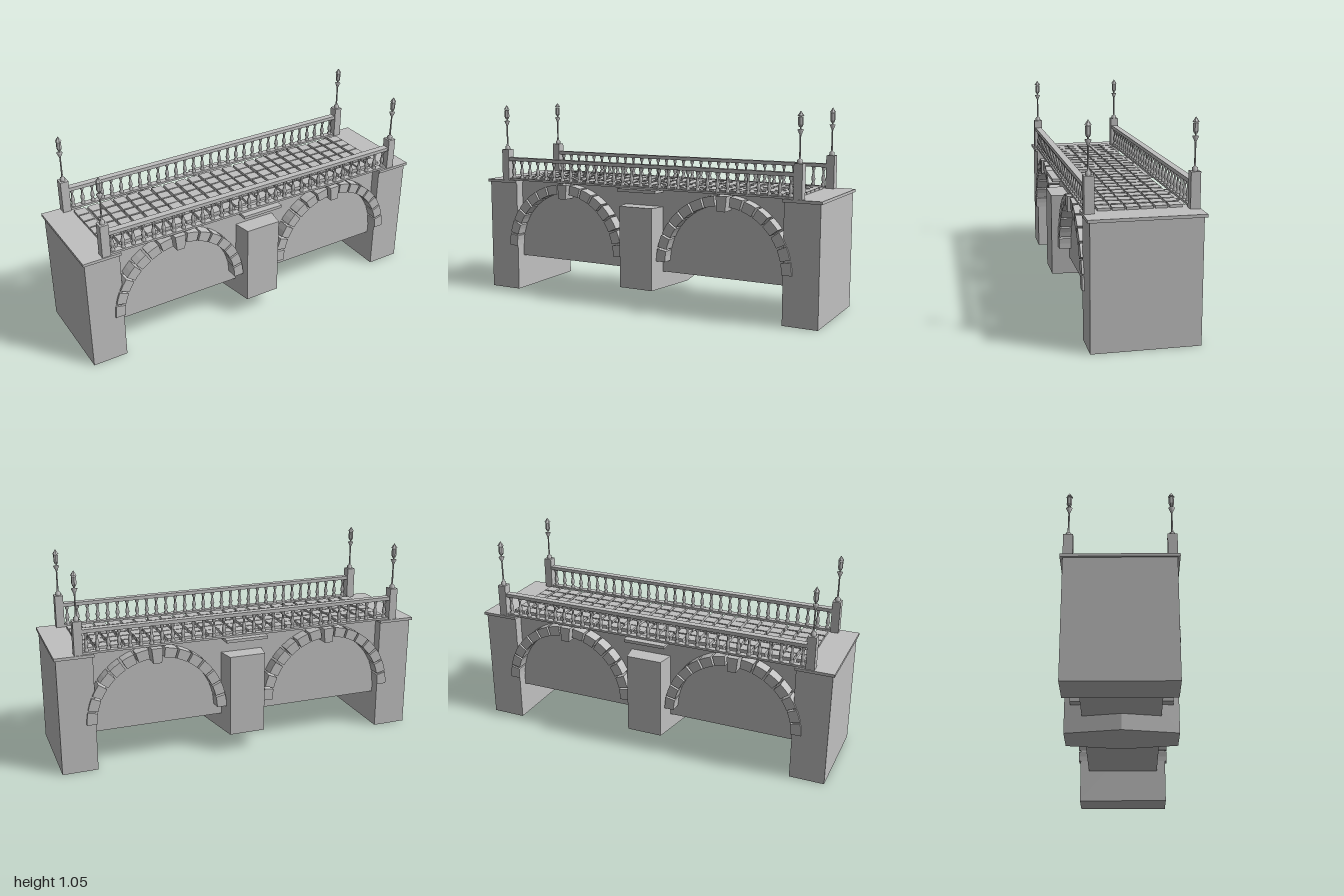
import * as THREE from 'three';

export function createModel() {
  const root = new THREE.Group();
  root.name = 'archBridge';
  const stone = new THREE.MeshStandardMaterial({ color: 0xc0c0c0 });
  stone.name = 'greyStone';

  const add = (parent, name, geo, x = 0, y = 0, z = 0) => {
    const m = new THREE.Mesh(geo, stone);
    m.name = name;
    m.position.set(x, y, z);
    parent.add(m);
    return m;
  };
  // box given by its x, y and z limits
  const block = (parent, name, x0, x1, y0, y1, z0, z1) =>
    add(parent, name, new THREE.BoxGeometry(x1 - x0, y1 - y0, z1 - z0),
      (x0 + x1) / 2, (y0 + y1) / 2, (z0 + z1) / 2);
  const lathe = (pts, n) =>
    new THREE.LatheGeometry(pts.map(p => new THREE.Vector2(p[0], p[1])), n);
  let seed = 7;
  const jitter = a => {
    seed = (seed * 16807) % 2147483647;
    return (seed / 2147483647 - 0.5) * 2 * a;
  };

  // solid span between the abutments
  block(root, 'spanBody', -0.81, 0.81, 0.19, 0.625, -0.21, 0.21);

  // abutments with cap slabs
  for (const s of [-1, 1]) {
    const a = new THREE.Group();
    a.name = s > 0 ? 'leftAbutment' : 'rightAbutment';
    root.add(a);
    add(a, 'abutmentBlock', new THREE.BoxGeometry(0.185, 0.615, 0.525), s * 0.8975, 0.3075, 0);
    add(a, 'abutmentCap', new THREE.BoxGeometry(0.2, 0.015, 0.55), s * 0.9, 0.6225, 0);
  }

  // central pier, pointed towards both spans
  const plan = new THREE.Shape([[0.15, 0], [0.097, 0.305], [-0.097, 0.305],
    [-0.15, 0], [-0.097, -0.305], [0.097, -0.305]].map(p => new THREE.Vector2(...p)));
  const pierGeo = new THREE.ExtrudeGeometry(plan, { depth: 0.437, bevelEnabled: false });
  pierGeo.rotateX(-Math.PI / 2);
  add(root, 'centralPier', pierGeo, 0, 0.1, 0);
  block(root, 'centralLedge', -0.115, 0.115, 0.614, 0.63, -0.3, 0.3);

  // arch rings of separate wedge stones with a keystone
  const N = 15, rIn = 0.322, rOut = 0.374;
  const step = Math.PI / N;
  const wedge = new THREE.Shape();
  wedge.absarc(0, 0, rOut, -step * 0.43, step * 0.43, false);
  wedge.absarc(0, 0, rIn, step * 0.43, -step * 0.43, true);
  wedge.closePath();
  const wedgeGeo = new THREE.ExtrudeGeometry(wedge, { depth: 0.068, bevelEnabled: false, curveSegments: 1 });
  const key = new THREE.Shape([[-0.022, 0.545], [0.022, 0.545], [0.03, 0.624], [-0.03, 0.624]]
    .map(p => new THREE.Vector2(...p)));
  const keyGeo = new THREE.ExtrudeGeometry(key, { depth: 0.078, bevelEnabled: false });
  for (const side of [-1, 1]) {
    for (const cx of [-0.48, 0.48]) {
      const arch = new THREE.Group();
      arch.name = 'archRing';
      arch.position.set(cx, 0, 0);
      arch.rotation.y = side > 0 ? 0 : Math.PI;
      root.add(arch);
      for (let i = 0; i < N; i++) {
        if (i === (N - 1) / 2) continue;
        add(arch, 'archStone', wedgeGeo, 0, 0.25, 0.205).rotation.z = (i + 0.5) * step;
      }
      add(arch, 'keystone', keyGeo, 0, 0, 0.205);
    }
  }

  // slightly uneven paving stones
  const paving = new THREE.Group();
  paving.name = 'paving';
  root.add(paving);
  const pave = new THREE.BoxGeometry(0.061, 0.021, 0.06);
  for (let i = 0; i < 23; i++) {
    for (let j = 0; j < 6; j++) {
      const p = add(paving, 'pavingStone', pave,
        (i - 11) * 0.0743 + jitter(0.002), 0.6325, (j - 2.5) * 0.068 + jitter(0.002));
      p.rotation.y = jitter(0.05);
    }
  }

  // balustrades
  const balGeo = lathe([[0.011, 0], [0.011, 0.012], [0.006, 0.018], [0.0115, 0.034],
    [0.01, 0.046], [0.0055, 0.064], [0.0055, 0.08], [0.0095, 0.086], [0.0105, 0.102]], 8);
  const poleGeo = lathe([[0.014, 0], [0.014, 0.016], [0.006, 0.02], [0.0045, 0.04],
    [0.0038, 0.13], [0.005, 0.135], [0.016, 0.16], [0.005, 0.163], [0, 0.163]], 8);
  const lanternGeo = lathe([[0, 0], [0.008, 0], [0.013, 0.012], [0.013, 0.048],
    [0.008, 0.051], [0, 0.051]], 6).toNonIndexed();
  lanternGeo.computeVertexNormals();
  const roofGeo = new THREE.ConeGeometry(0.017, 0.025, 6).toNonIndexed();
  roofGeo.computeVertexNormals();

  for (const side of [-1, 1]) {
    const z = side * 0.247;
    const rail = new THREE.Group();
    rail.name = side > 0 ? 'frontBalustrade' : 'backBalustrade';
    root.add(rail);
    block(rail, 'topRail', -0.86, 0.86, 0.74, 0.759, z - 0.018, z + 0.018);
    block(rail, 'bottomRail', -0.86, 0.86, 0.63, 0.641, z - 0.016, z + 0.016);
    for (let i = 0; i < 31; i++) {
      add(rail, 'baluster', balGeo, (i - 15) * 0.0555, 0.639, z);
    }
    // end pillars with lamps
    for (const s of [-1, 1]) {
      const x = s * 0.875;
      block(rail, 'pillar', x - 0.022, x + 0.022, 0.628, 0.804, z - 0.0235, z + 0.0235);
      const lamp = new THREE.Group();
      lamp.name = 'lamp';
      lamp.position.set(x, 0.804, z);
      rail.add(lamp);
      add(lamp, 'lampPole', poleGeo);
      add(lamp, 'lantern', lanternGeo, 0, 0.172, 0);
      add(lamp, 'lanternStem', new THREE.CylinderGeometry(0.004, 0.004, 0.02, 8), 0, 0.168, 0);
      add(lamp, 'lanternRoof', roofGeo, 0, 0.2375, 0);
    }
  }
  return root;
}
